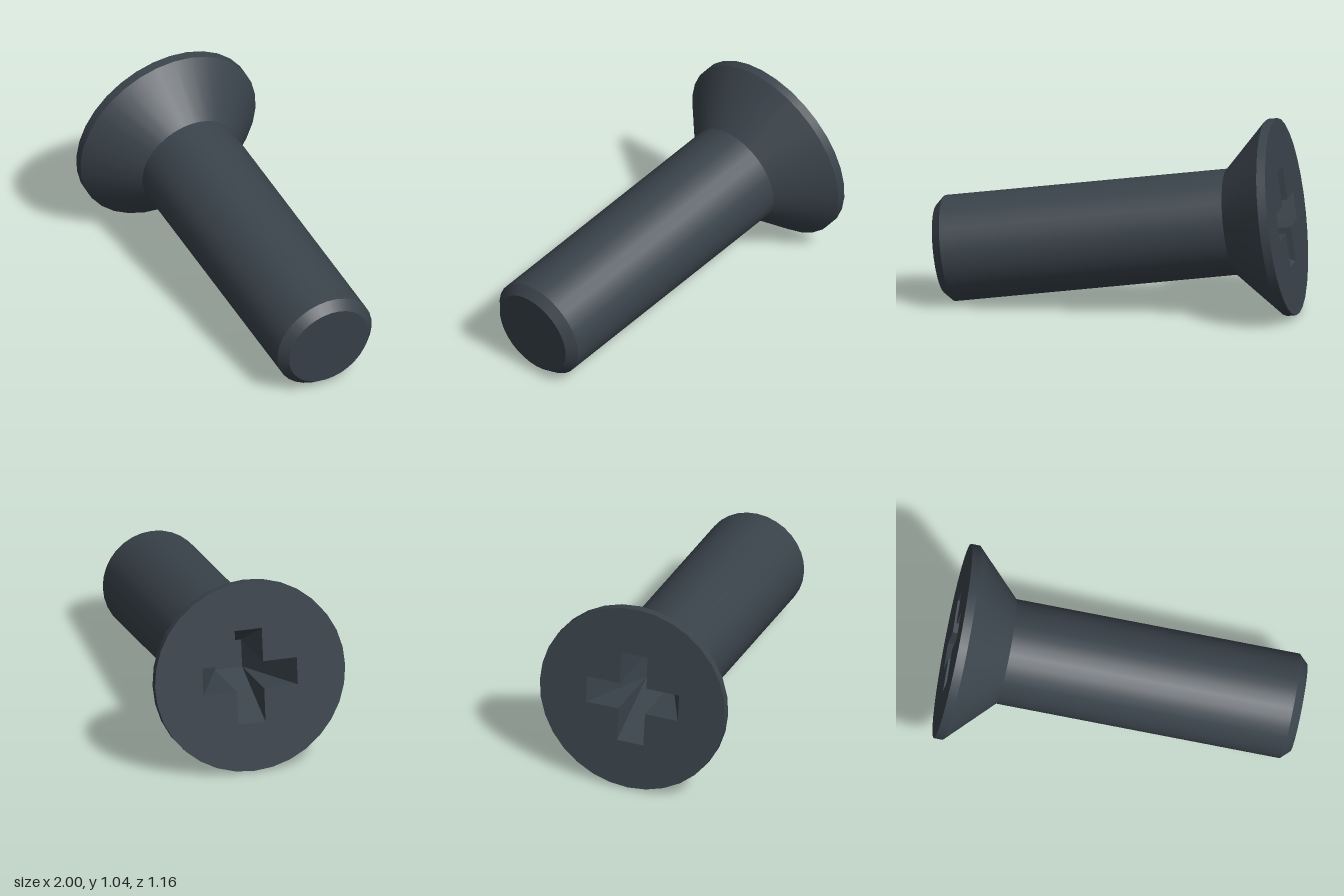
import * as THREE from 'three';

const SIDES = 32;
const ARM = 0.26, HALF = 0.075, DEPTH = 0.42; // cross recess: arm reach, half width, depth

// Sloping floor and two side walls of one recess arm, pointing along +x
function recessArmGeometry() {
  const [l, w, d] = [ARM, HALF, DEPTH];
  const corners = [
    l, 0, -w, w, -d, -w, w, -d, w, l, 0, -w, w, -d, w, l, 0, w, // floor
    l, 0, w, w, -d, w, w, 0, w, // side walls
    l, 0, -w, w, 0, -w, w, -d, -w,
  ];
  const geo = new THREE.BufferGeometry();
  geo.setAttribute('position', new THREE.Float32BufferAttribute(corners, 3));
  geo.computeVertexNormals();
  return geo;
}

export function createModel() {
  const steel = new THREE.MeshStandardMaterial({ color: 0x3a434b });
  steel.name = 'dark steel';
  const model = new THREE.Group();
  model.name = 'countersunkScrew';
  const add = (name, geo) => {
    const mesh = new THREE.Mesh(geo, steel);
    mesh.name = name;
    model.add(mesh);
    return mesh;
  };

  // Turned body, one band per part so the edges between them stay sharp
  const profile = [[0, -1.87], [0.236, -1.87], [0.282, -1.822], [0.282, -0.29], [0.524, -0.048], [0.524, 0]]
    .map(([r, y]) => new THREE.Vector2(r, y));
  ['tipFace', 'tipChamfer', 'shaft', 'headCone', 'headRim'].forEach((name, i) =>
    add(name, new THREE.LatheGeometry(profile.slice(i, i + 2), SIDES)));

  // Flat head face with a cross-shaped opening
  const face = new THREE.Shape(Array.from({ length: SIDES }, (_, i) => {
    const a = (i / SIDES) * Math.PI * 2;
    return new THREE.Vector2(0.524 * Math.cos(a), 0.524 * Math.sin(a));
  }));
  const cross = [];
  for (let k = 0; k < 4; k++) {
    for (const [x, y] of [[ARM, -HALF], [ARM, HALF], [HALF, HALF]]) {
      cross.push(new THREE.Vector2(x, y).rotateAround(new THREE.Vector2(), k * Math.PI / 2));
    }
  }
  face.holes.push(new THREE.Path(cross));
  add('headFace', new THREE.ShapeGeometry(face).rotateX(-Math.PI / 2));

  // Recess arms and the square bottom between them
  const armGeo = recessArmGeometry();
  for (let k = 0; k < 4; k++) add('recessArm', armGeo).rotation.y = k * Math.PI / 2;
  add('recessBottom', new THREE.PlaneGeometry(2 * HALF, 2 * HALF).rotateX(-Math.PI / 2)).position.y = -DEPTH;

  // Lay the screw down: local +y points out of the head, local x stays level
  const up = new THREE.Vector3(-0.969, 0.135, -0.206).normalize();
  const level = new THREE.Vector3(up.z, 0, -up.x).normalize();
  const third = new THREE.Vector3().crossVectors(level, up);
  model.quaternion.setFromRotationMatrix(new THREE.Matrix4().makeBasis(level, up, third));
  model.position.set(-0.871, 0.526, -0.067);

  const root = new THREE.Group();
  root.name = 'screw';
  root.add(model);
  return root;
}
